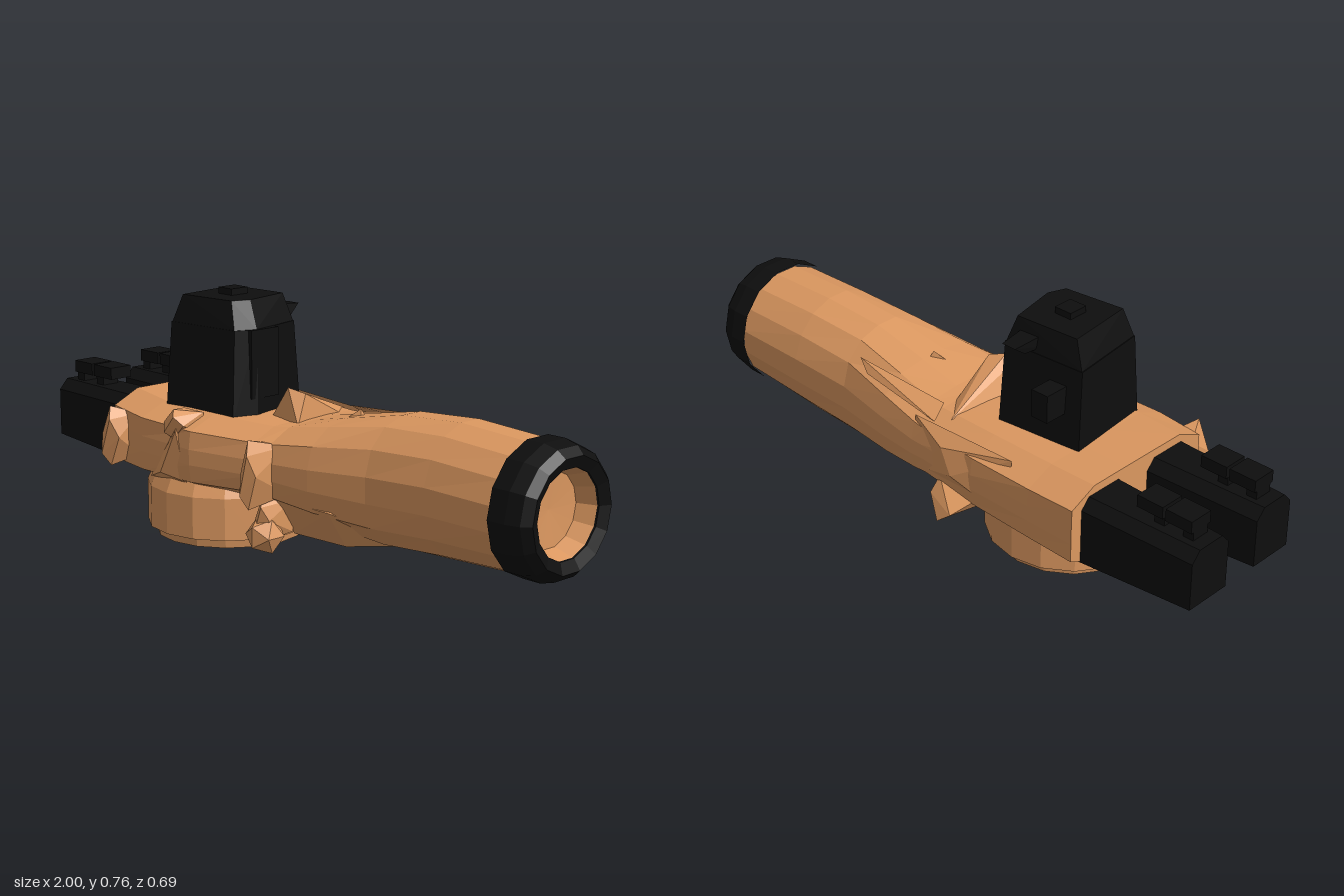
import * as THREE from 'three';
import { ConvexGeometry } from 'three/addons/geometries/ConvexGeometry.js';

const mat = (name, color) => {
  const m = new THREE.MeshStandardMaterial({ color, flatShading: true });
  m.name = name;
  return m;
};

// Skin through rounded-box sections: [x, yMin, yMax, zMin, zMax, squareness]
function loft(sections, n) {
  const pos = [], idx = [];
  sections.forEach(([x, y0, y1, z0, z1, p]) => {
    for (let j = 0; j < n; j++) {
      const a = ((j + 0.5) / n) * Math.PI * 2, c = Math.cos(a), s = Math.sin(a);
      const r = Math.pow(Math.abs(c) ** p + Math.abs(s) ** p, -1 / p);
      pos.push(x, (y0 + y1) / 2 + r * s * (y1 - y0) / 2, (z0 + z1) / 2 + r * c * (z1 - z0) / 2);
    }
  });
  const last = sections.length - 1;
  for (let i = 0; i < last; i++) {
    for (let j = 0; j < n; j++) {
      const a = i * n + j, b = i * n + (j + 1) % n;
      idx.push(a, a + n, b + n, a, b + n, b);
    }
  }
  for (let j = 1; j < n - 1; j++) {
    idx.push(0, j, j + 1, last * n, last * n + j + 1, last * n + j);
  }
  const g = new THREE.BufferGeometry();
  g.setAttribute('position', new THREE.Float32BufferAttribute(pos, 3));
  g.setIndex(idx);
  const flat = g.toNonIndexed();
  flat.computeVertexNormals();
  return flat;
}

export function createModel() {
  const tan = mat('tan', 0xdc9860);
  const black = mat('black', 0x0e0e0e);
  const group = new THREE.Group();

  const add = (name, geometry, material, x = 0, y = 0, z = 0) => {
    const m = new THREE.Mesh(geometry, material);
    m.name = name;
    m.position.set(x, y, z);
    group.add(m);
    return m;
  };
  const hull = (name, material, pts) =>
    add(name, new ConvexGeometry(pts.map(p => new THREE.Vector3(...p))), material);
  const box = (name, material, x0, x1, y0, y1, z0, z1) =>
    add(name, new THREE.BoxGeometry(x1 - x0, y1 - y0, z1 - z0), material,
      (x0 + x1) / 2, (y0 + y1) / 2, (z0 + z1) / 2);
  const lathe = (name, material, pts, sides) =>
    add(name, new THREE.LatheGeometry(pts.map(p => new THREE.Vector2(...p)), sides), material);

  // Square housing blending into the round barrel
  add('body', loft([
    [-0.62, 0.165, 0.42, -0.285, 0.27, 9],
    [-0.45, 0.165, 0.41, -0.28, 0.30, 7],
    [-0.22, 0.165, 0.405, -0.275, 0.305, 5],
    [0.0, 0.165, 0.40, -0.255, 0.25, 4],
    [0.05, 0.15, 0.405, -0.25, 0.235, 3.6],
    [0.2, 0.115, 0.435, -0.23, 0.215, 3],
    [0.4, 0.08, 0.475, -0.2, 0.18, 2.4],
    [0.62, 0.085, 0.49, -0.205, 0.175, 2.1],
    [0.88, 0.098, 0.48, -0.2, 0.185, 2],
  ], 16), tan);
  hull('bellyBlock', tan, [[0.05, 0.07], [0.27, 0.075]].flatMap(([x, y]) =>
    [[x, y, 0.125], [x, y, -0.1], [x, 0.19, 0.2], [x, 0.19, -0.17]]).concat([[0.45, 0.09, 0]]));

  // Muzzle ring and the recessed bowl within it
  for (const [name, m, pts] of [
    ['muzzleRing', black, [[0.2, 0.87], [0.2, 0.93], [0.188, 0.975], [0.165, 1], [0.13, 0.985], [0.13, 0.91]]],
    ['muzzleBowl', tan, [[0.132, 0.984], [0.11, 0.92], [0, 0.915]]],
  ]) {
    const r = lathe(name, m, pts, 14);
    r.rotation.z = -Math.PI / 2;
    r.position.set(0, 0.29, -0.007);
  }

  // Round mount underneath, with a shallow socket
  lathe('mount', tan, [[0, 0.025], [0.06, 0.025], [0.075, 0], [0.23, 0], [0.235, 0.03],
    [0.258, 0.03], [0.258, 0.16], [0.235, 0.21], [0, 0.21]], 16).position.set(-0.315, 0, 0.058);

  // Twin rear prongs with hooked sights
  for (const [z0, z1, h] of [[-0.245, -0.06, -0.15], [0.035, 0.215, 0.125]]) {
    hull('prong', black, [[-1, 0.21, 0.015], [-0.6, 0.185, 0]].flatMap(([x, y, t]) =>
      [[x, y, z0 + t], [x, y, z1 - t], [x, 0.36, z0 + t], [x, 0.36, z1 - t],
        [x, 0.393, z0 + t + 0.03], [x, 0.393, z1 - t - 0.03]]));
    for (const x of [-0.96, -0.86]) {
      box('hookPost', black, x, x + 0.035, 0.38, 0.44, h - 0.03, h + 0.03);
      box('hookTop', black, x, x + 0.09, 0.42, 0.458, h - 0.04, h + 0.04);
    }
  }

  // Tapered tower on top
  const base = [[-0.465, -0.085], [-0.17, -0.105], [-0.125, 0.11], [-0.155, 0.185], [-0.43, 0.215]];
  const ring = (y, s, sz) => base.map(([x, z]) => [-0.295 + (x + 0.295) * s, y, 0.055 + (z - 0.055) * sz]);
  hull('tower', black, [...ring(0.385, 1, 1), ...ring(0.66, 0.95, 0.88)]);
  hull('towerCap', black, [...ring(0.66, 0.93, 0.87), ...ring(0.745, 0.72, 0.75)]);
  box('towerShoulder', black, -0.17, -0.13, 0.45, 0.66, 0.02, 0.13);
  box('towerTopNub', black, -0.33, -0.27, 0.73, 0.765, 0.02, 0.085);
  box('towerLowerLug', black, -0.405, -0.345, 0.51, 0.598, -0.155, -0.05);
  hull('towerUpperLug', black, [[-0.29, 0.67, -0.04], [-0.22, 0.67, -0.04], [-0.29, 0.71, -0.04],
    [-0.22, 0.71, -0.04], [-0.28, 0.67, -0.115], [-0.22, 0.67, -0.115], [-0.28, 0.7, -0.155], [-0.23, 0.7, -0.155]]);

  // Small fin on the top
  hull('topFin', tan, [[-0.1, 0.39, 0.08], [0.04, 0.39, 0.1], [0.0, 0.39, -0.12], [-0.06, 0.39, -0.19],
    [-0.03, 0.495, 0.075], [0.02, 0.48, 0.05], [-0.06, 0.46, 0.03]]);
  // Rear-side bulge and fin
  hull('backBulge', tan, [[-0.35, 0.2, -0.25], [-0.35, 0.4, -0.24], [0.05, 0.2, -0.23], [0.05, 0.38, -0.23],
    [-0.15, 0.28, -0.288], [-0.1, 0.35, -0.275]]);
  hull('backFin', tan, [[-0.23, 0.22, -0.23], [-0.06, 0.22, -0.24], [-0.2, 0.165, -0.2], [-0.08, 0.165, -0.2],
    [-0.2, 0.19, -0.34], [-0.15, 0.15, -0.343], [-0.06, 0.18, -0.28]]);
  // Lumps along the front side: [x, half width, yMin, yMax, zInner, zOuter]
  for (const [x, w, y0, y1, z0, z1] of [
    [-0.575, 0.042, 0.2, 0.39, 0.24, 0.343],
    [-0.295, 0.045, 0.33, 0.42, 0.22, 0.32],
    [0.035, 0.033, 0.17, 0.38, 0.17, 0.315],
    [0.03, 0.03, 0.06, 0.2, 0.14, 0.255],
  ]) {
    const m = (y0 + y1) / 2, h = (y1 - y0) / 2, z2 = z1 - 0.02;
    hull('sideLump', tan, [[x - w, m - h * 0.7, z0], [x + w, m - h * 0.7, z0], [x - w, m + h * 0.7, z0],
      [x + w, m + h * 0.7, z0], [x, y0, z2], [x, y1, z2], [x - w, m, z2], [x + w, m, z2],
      [x - w / 2, m - h * 0.6, z1], [x + w / 2, m + h * 0.6, z1]]);
  }
  hull('sideRib', tan, [[-0.42, 0.19, 0.29], [-0.25, 0.2, 0.29], [-0.29, 0.38, 0.29], [-0.34, 0.22, 0.318],
    [-0.27, 0.36, 0.315]]);
  // Knobs hanging behind the mount
  for (const [x, z, r] of [[0.03, 0.225, 0.06], [-0.01, -0.02, 0.05]]) {
    add('knob', new THREE.IcosahedronGeometry(r, 0), tan, x, 0.03 + r * 0.85, z);
  }
  box('knobStem', tan, -0.04, 0.03, 0.07, 0.2, -0.05, 0.02);
  // Ridge and pip on the barrel
  hull('barrelRidge', tan, [[-0.02, 0.38, -0.22], [0.35, 0.43, -0.17], [0.3, 0.4, -0.19], [0.0, 0.41, -0.16]]);
  hull('barrelPip', tan, [[0.15, 0.42, 0.01], [0.2, 0.42, -0.03], [0.2, 0.42, 0.0], [0.19, 0.452, -0.015]]);

  return group;
}
